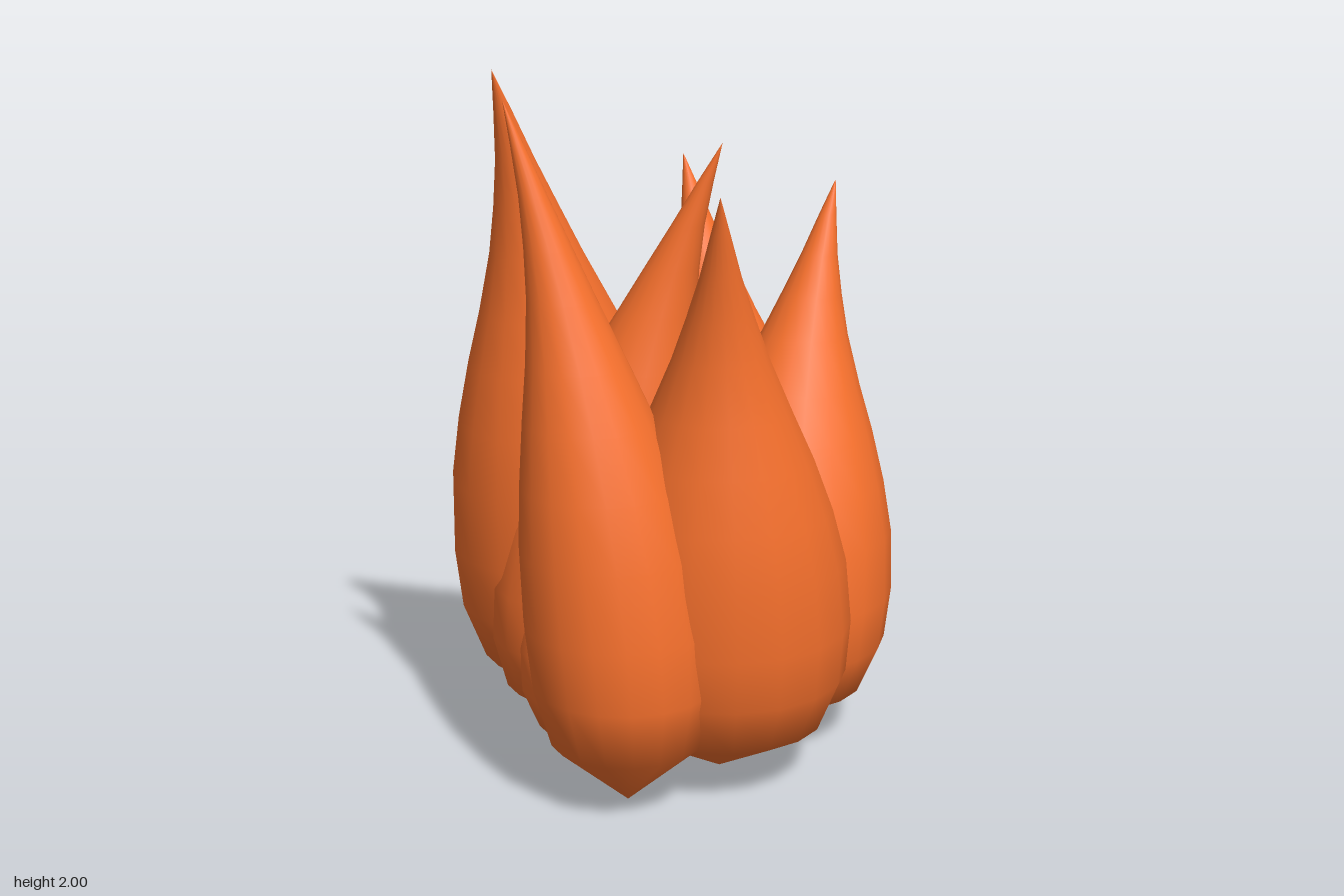
import * as THREE from 'three';

const material = new THREE.MeshStandardMaterial({ color: 0xf8712d });

// Teardrop outline: [radius fraction, height fraction], with a thin drawn-out tip
const PROFILE = [
  [0, 0], [0.81, 0.095], [0.97, 0.18], [1, 0.27], [0.95, 0.38], [0.84, 0.47],
  [0.69, 0.56], [0.53, 0.64], [0.36, 0.73], [0.25, 0.8], [0.15, 0.87], [0.07, 0.94], [0, 1],
];

// One flame: a lathed teardrop whose axis bends from its base towards its tip
function flame(name, radius, [baseX, baseZ], [tipX, height, tipZ]) {
  const points = PROFILE.map(([r, t]) => new THREE.Vector2(r * radius, t * height));
  const geometry = new THREE.LatheGeometry(points, 18);
  const pos = geometry.attributes.position;
  const normal = geometry.attributes.normal;
  const dx = tipX - baseX, dz = tipZ - baseZ;
  const n = new THREE.Vector3();
  for (let i = 0; i < pos.count; i++) {
    const t = pos.getY(i) / height;
    const bend = t * t;
    const slope = (2 * t) / height;
    pos.setX(i, pos.getX(i) + baseX + dx * bend);
    pos.setZ(i, pos.getZ(i) + baseZ + dz * bend);
    // Shear the normals along with the bend so the seam stays smooth
    n.fromBufferAttribute(normal, i);
    n.y -= slope * (dx * n.x + dz * n.z);
    n.normalize();
    normal.setXYZ(i, n.x, n.y, n.z);
  }
  const mesh = new THREE.Mesh(geometry, material);
  mesh.name = name;
  return mesh;
}

export function createModel() {
  const model = new THREE.Group();
  model.name = 'fire';
  model.add(
    flame('rightFlame', 0.38, [-0.305, -0.075], [-0.28, 2.0, 0.365]),
    flame('frontFlame', 0.265, [0.21, 0.425], [-0.09, 1.95, 0.56]),
    flame('middleFlame', 0.31, [-0.17, 0.09], [0.235, 1.8, 0]),
    flame('leftFlame', 0.37, [0.295, 0.085], [0.505, 1.73, 0.43]),
    flame('backFlame', 0.365, [0.11, -0.34], [-0.135, 1.7, -0.36]),
    flame('backLeftFlame', 0.355, [0.25, -0.245], [0.3, 1.64, -0.515]),
    flame('innerFlame', 0.33, [0.04, 0.18], [-0.11, 1.28, -0.26]),
  );
  return model;
}
